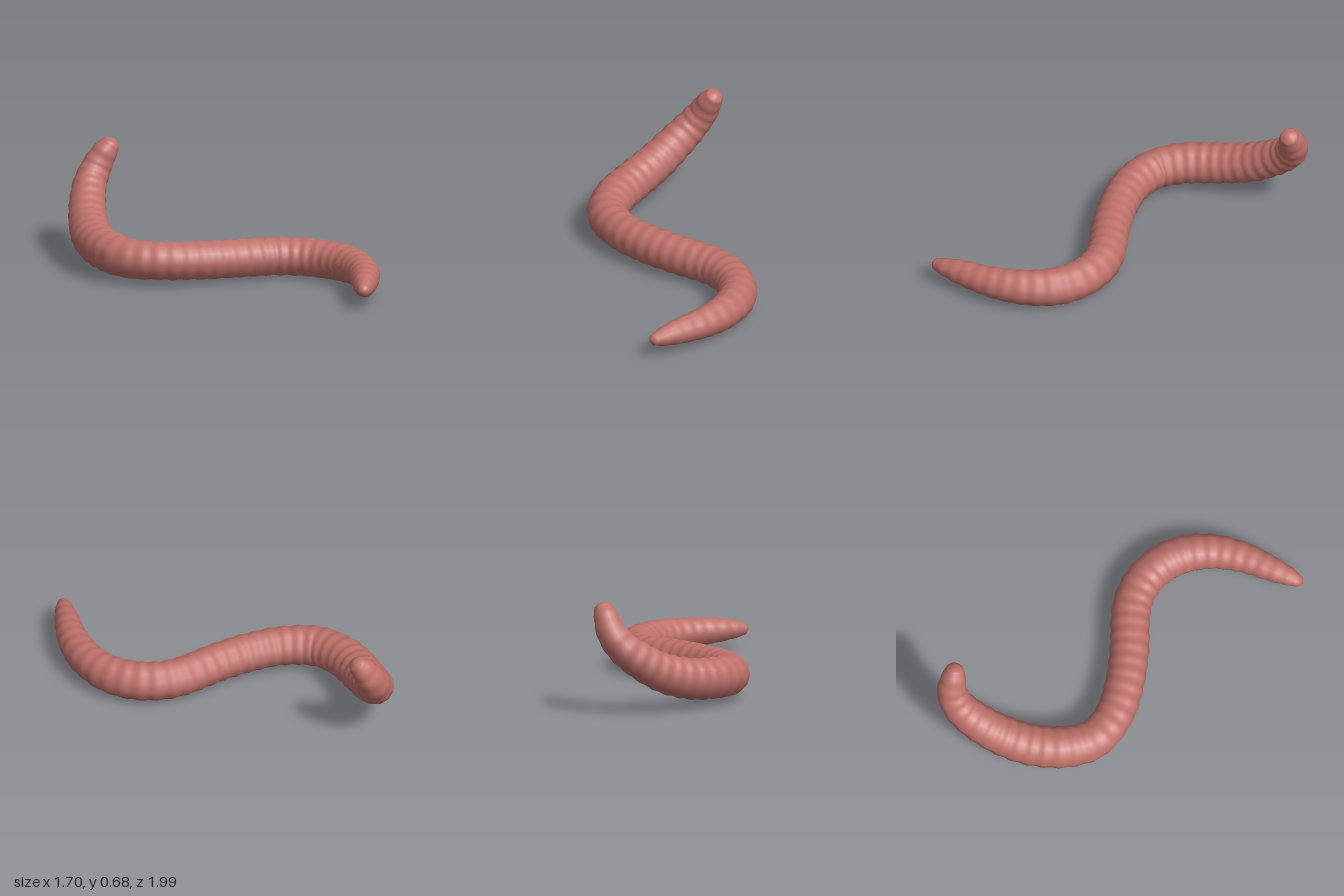
import * as THREE from 'three';
import { mergeVertices } from 'three/addons/utils/BufferGeometryUtils.js';

// Body path from tail to head: x, y, z, radius
const PATH = [
  [0.65, 0.13, 0.995, 0], [0.655, 0.13, 0.975, 0.034], [0.675, 0.132, 0.9, 0.058],
  [0.698, 0.134, 0.8, 0.076], [0.738, 0.134, 0.6, 0.094], [0.733, 0.132, 0.4, 0.106],
  [0.66, 0.128, 0.21, 0.116], [0.52, 0.128, 0.075, 0.118], [0.32, 0.132, 0.015, 0.118],
  [0, 0.142, 0.06, 0.118], [-0.2, 0.146, 0.075, 0.118], [-0.42, 0.15, 0.055, 0.118],
  [-0.6, 0.156, -0.035, 0.122], [-0.692, 0.172, -0.2, 0.126], [-0.725, 0.192, -0.4, 0.126],
  [-0.715, 0.248, -0.6, 0.121], [-0.683, 0.345, -0.77, 0.111], [-0.648, 0.425, -0.862, 0.102],
  [-0.6, 0.51, -0.907, 0.092], [-0.55, 0.595, -0.91, 0.078], [-0.502, 0.66, -0.907, 0.053],
  [-0.487, 0.68, -0.906, 0],
];
const SEGMENTS = 320, SIDES = 12, RINGS = 40;

// Tube whose rings swell and taper along the path
function wormGeometry() {
  const curve = new THREE.CatmullRomCurve3(PATH.map(p => new THREE.Vector3(p[0], p[1], p[2])));
  curve.arcLengthDivisions = 800;
  const radii = PATH.map(p => p[3]);
  const geo = new THREE.TubeGeometry(curve, SEGMENTS, 1, SIDES, false);
  const pos = geo.attributes.position, v = new THREE.Vector3();
  for (let i = 0; i <= SEGMENTS; i++) {
    const u = i / SEGMENTS;
    const center = curve.getPointAt(u);
    const t = curve.getUtoTmapping(u) * (radii.length - 1);
    const k = Math.min(Math.floor(t), radii.length - 2);
    const base = THREE.MathUtils.lerp(radii[k], radii[k + 1], t - k);
    const r = base * (1 + 0.025 * Math.cos(u * RINGS * Math.PI * 2));
    for (let j = 0; j <= SIDES; j++) {
      const n = i * (SIDES + 1) + j;
      v.fromBufferAttribute(pos, n).sub(center).multiplyScalar(r).add(center);
      pos.setXYZ(n, v.x, v.y, v.z);
    }
  }
  // Weld the seam and the tips for smooth normals
  geo.deleteAttribute('uv');
  geo.deleteAttribute('normal');
  const welded = mergeVertices(geo, 1e-5);
  welded.computeVertexNormals();
  return welded;
}

export function createModel() {
  const group = new THREE.Group();
  group.name = 'worm';
  const skin = new THREE.MeshStandardMaterial({ color: 0xbf716a });
  skin.name = 'pinkSkin';
  const body = new THREE.Mesh(wormGeometry(), skin);
  body.name = 'ringedBody';
  group.add(body);
  return group;
}
